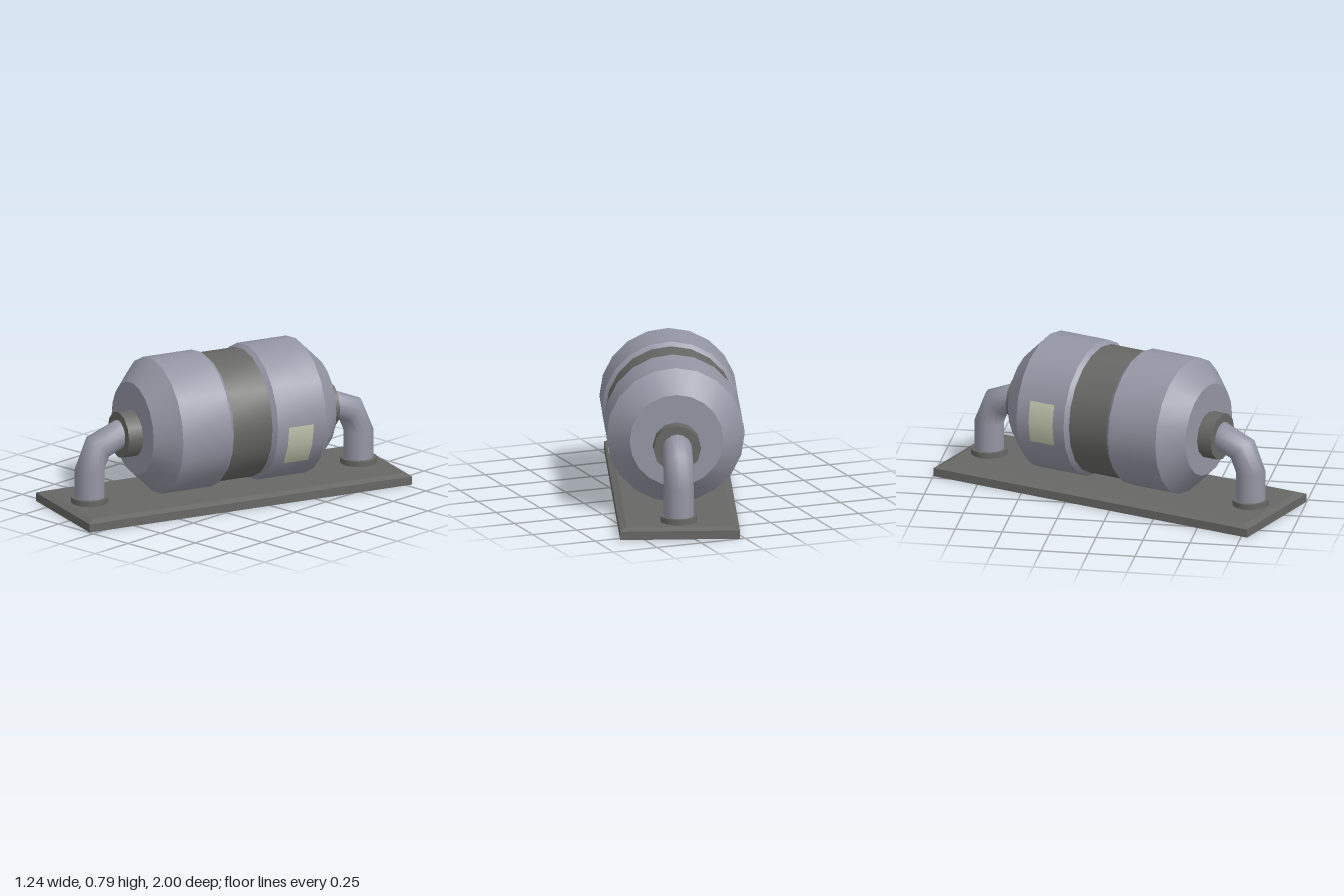
import * as THREE from 'three';
import { toCreasedNormals } from 'three/addons/utils/BufferGeometryUtils.js';

const steel = new THREE.MeshStandardMaterial({ color: 0x9496a4 });
const dark = new THREE.MeshStandardMaterial({ color: 0x676765 });
const pale = new THREE.MeshStandardMaterial({ color: 0xc4c8b0, side: THREE.DoubleSide });

const SIDES = 20, AXIS_Y = 0.43, PIPE_Y = 0.405, PIPE_R = 0.079;
const BEND_R = 0.165, PIPE_Z = 0.79, PLATE_H = 0.06;

function add(parent, name, geometry, material, x = 0, y = 0, z = 0) {
  const mesh = new THREE.Mesh(geometry, material);
  mesh.name = name;
  mesh.position.set(x, y, z);
  parent.add(mesh);
  return mesh;
}

// Turned part along z from [radius, z] pairs, with sharp rims
function turned(profile) {
  const points = profile.map(([r, z]) => new THREE.Vector2(r, z));
  return toCreasedNormals(new THREE.LatheGeometry(points, SIDES).rotateX(Math.PI / 2), 0.55);
}

// Cylinder along z
function rod(radius, length, sides, open = false) {
  return new THREE.CylinderGeometry(radius, radius, length, sides, 1, open).rotateX(Math.PI / 2);
}

// Base plate with a shallow bevel round the top
function plateGeometry() {
  const g = new THREE.BoxGeometry(0.63, PLATE_H, 1.895, 1, 2, 1);
  const p = g.attributes.position;
  for (let i = 0; i < p.count; i++) {
    const y = p.getY(i);
    if (Math.abs(y) < 0.001) p.setY(i, 0.015);
    else if (y > 0) {
      p.setX(i, p.getX(i) - Math.sign(p.getX(i)) * 0.035);
      p.setZ(i, p.getZ(i) - Math.sign(p.getZ(i)) * 0.035);
    }
  }
  const flat = g.toNonIndexed();
  flat.computeVertexNormals();
  return flat;
}

// One half of the tank with its outlet pipe, pointing to +z
function tankEnd(name) {
  const end = new THREE.Group();
  end.name = name;
  add(end, 'tankShell', turned([
    [0.34, 0.11], [0.363, 0.135], [0.363, 0.42], [0.247, 0.537], [0, 0.537],
  ]), steel, 0, AXIS_Y);
  add(end, 'pipeCollar', rod(0.125, 0.115, 12), dark, 0, PIPE_Y, 0.5625);

  // Pipe: straight stub, two-segment elbow, vertical leg
  const bendZ = PIPE_Z - BEND_R, bendY = PIPE_Y - BEND_R;
  add(end, 'pipeStub', rod(PIPE_R, bendZ - 0.54, 16, true), steel, 0, PIPE_Y, (bendZ + 0.54) / 2);
  const elbow = new THREE.TorusGeometry(BEND_R, PIPE_R, 16, 2, Math.PI / 2).rotateY(-Math.PI / 2);
  add(end, 'pipeElbow', elbow, steel, 0, bendY, bendZ);
  const legHeight = bendY - PLATE_H;
  add(end, 'pipeLeg', new THREE.CylinderGeometry(PIPE_R, PIPE_R, legHeight, 16, 1, true),
    steel, 0, PLATE_H + legHeight / 2, PIPE_Z);
  add(end, 'pipeFlange', new THREE.CylinderGeometry(0.097, 0.097, 0.03, 16),
    dark, 0, PLATE_H + 0.015, PIPE_Z);
  return end;
}

// Thin curved panel, two facets wide, on the rear shell
function panelGeometry(startDegrees) {
  return new THREE.CylinderGeometry(0.3655, 0.3655, 0.145, 2, 1, true,
    THREE.MathUtils.degToRad(startDegrees), THREE.MathUtils.degToRad(36)).rotateX(Math.PI / 2);
}

export function createModel() {
  const model = new THREE.Group();
  model.name = 'tankOnPlate';

  // The whole unit sits turned on the ground
  const unit = new THREE.Group();
  unit.name = 'tankUnit';
  unit.rotation.y = THREE.MathUtils.degToRad(-20);
  model.add(unit);

  add(unit, 'basePlate', plateGeometry(), dark, 0, PLATE_H / 2, 0);
  add(unit, 'middleBand', turned([[0.343, -0.14], [0.343, 0.14]]), dark, 0, AXIS_Y);

  const rear = tankEnd('rearEnd');
  rear.rotation.y = Math.PI;
  unit.add(tankEnd('frontEnd'), rear);

  add(unit, 'leftPanel', panelGeometry(54), pale, 0, AXIS_Y, -0.2725);
  add(unit, 'rightPanel', panelGeometry(252), pale, 0, AXIS_Y, -0.2725);
  return model;
}
